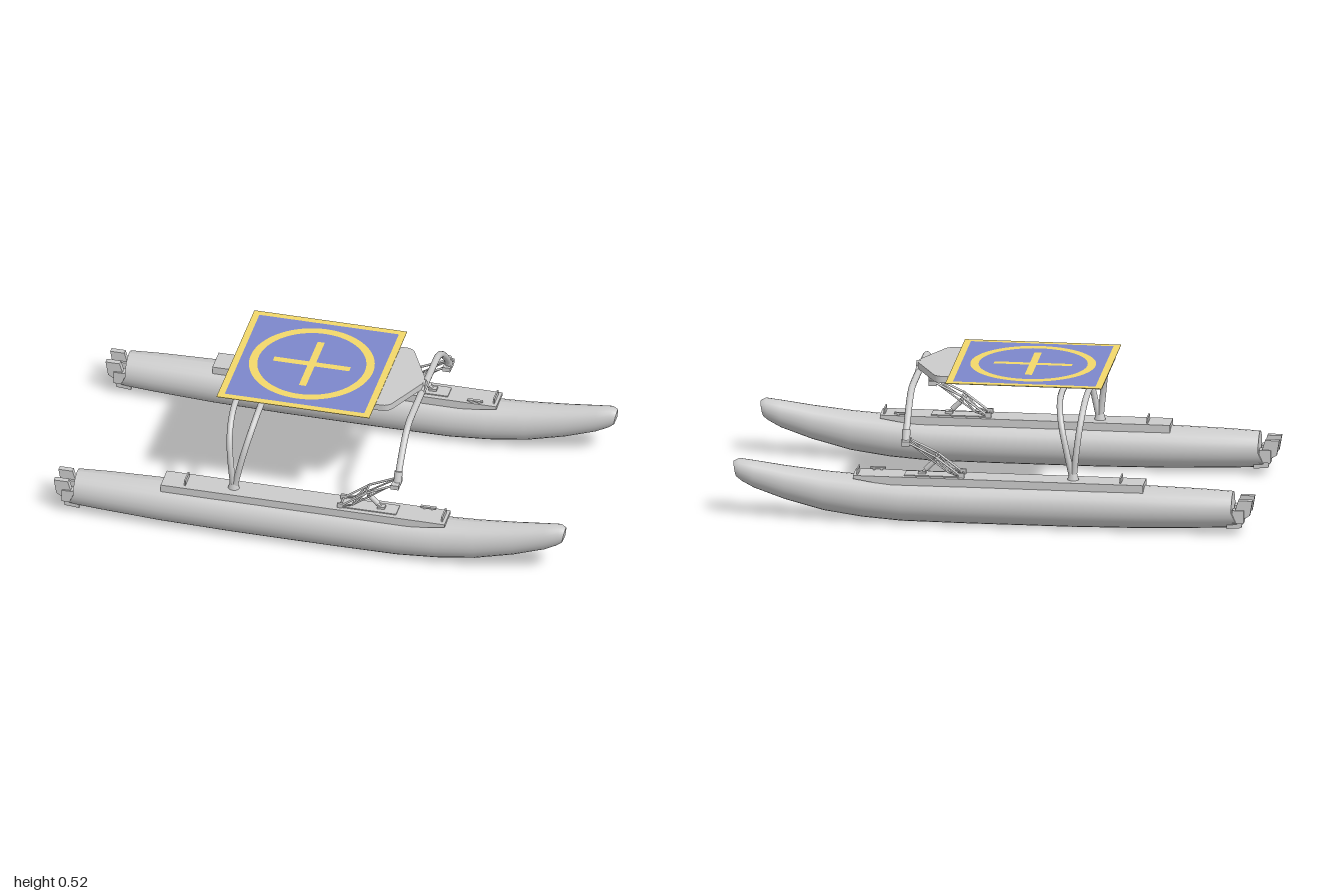
import * as THREE from 'three';

const grey = new THREE.MeshStandardMaterial({ color: 0xcccccc, side: THREE.DoubleSide });
const blue = new THREE.MeshStandardMaterial({ color: 0x7c87cb });
const yellow = new THREE.MeshStandardMaterial({ color: 0xf2d86a });
const teal = new THREE.MeshStandardMaterial({ color: 0x9fc4c4 });
const V = (x, y, z) => new THREE.Vector3(x, y, z);

function add(parent, name, geo, mat = grey, x = 0, y = 0, z = 0) {
  const m = new THREE.Mesh(geo, mat);
  m.name = name;
  m.position.set(x, y, z);
  parent.add(m);
  return m;
}
const box = (p, name, w, h, d, x, y, z, mat) => add(p, name, new THREE.BoxGeometry(w, h, d), mat, x, y, z);

// Straight round bar between two points
function rod(p, name, a, b, r, sides = 8) {
  const dir = b.clone().sub(a);
  const m = add(p, name, new THREE.CylinderGeometry(r, r, dir.length(), sides));
  m.position.copy(a).add(b).multiplyScalar(0.5);
  m.quaternion.setFromUnitVectors(V(0, 1, 0), dir.normalize());
  return m;
}
function tube(p, name, pts, r) {
  const curve = new THREE.CatmullRomCurve3(pts, false, 'centripetal');
  return add(p, name, new THREE.TubeGeometry(curve, 64, r, 12));
}
// Plate with an x-y outline, centred on z
function sidePlate(p, name, pts, depth, z) {
  const shape = new THREE.Shape(pts.map(q => new THREE.Vector2(...q)));
  const g = new THREE.ExtrudeGeometry(shape, { depth, bevelEnabled: false });
  return add(p, name, g.translate(0, 0, -depth / 2), grey, 0, 0, z);
}

// Hull lofted through elliptical stations: x, bottom, top, half width
function hullGeometry() {
  const stations = [
    [-0.92, 0.022, 0.16, 0.066], [-0.8, 0.015, 0.165, 0.076], [-0.58, 0.006, 0.17, 0.084],
    [-0.3, 0.001, 0.171, 0.086], [0.1, 0, 0.171, 0.086], [0.35, 0.001, 0.171, 0.083],
    [0.5, 0.011, 0.174, 0.077], [0.65, 0.031, 0.184, 0.068], [0.8, 0.069, 0.2, 0.056],
    [0.92, 0.11, 0.216, 0.044], [0.975, 0.135, 0.223, 0.037], [0.995, 0.15, 0.212, 0.026]];
  const n = 24, pos = [], idx = [];
  const ring = ([x, b, t, w], i) => {
    for (let k = 0; k <= n; k++) {
      const a = k / n * Math.PI * 2, c = Math.cos(a);
      // stern leans aft toward the keel, bow leans aft toward the keel
      const lean = i === 0 ? Math.min(0, c) * 0.03 : i >= 10 ? c * 0.006 - 0.002 : 0;
      pos.push(x + lean, (b + t) / 2 + c * (t - b) / 2, Math.sin(a) * w);
    }
  };
  stations.forEach(ring);
  for (let i = 0; i < stations.length - 1; i++) for (let k = 0; k < n; k++) {
    const a = i * (n + 1) + k, b = a + n + 1;
    idx.push(a, a + 1, b, b, a + 1, b + 1);
  }
  // separate cap rings keep the end edges sharp
  for (const i of [0, stations.length - 1]) {
    const start = pos.length / 3;
    ring(stations[i], i);
    const [x, b, t] = stations[i];
    pos.push(i ? x + 0.003 : x, (b + t) / 2, 0);
    const mid = start + n + 1;
    for (let k = 0; k < n; k++) idx.push(mid, ...(i ? [start + k, start + k + 1] : [start + k + 1, start + k]));
  }
  const g = new THREE.BufferGeometry();
  g.setAttribute('position', new THREE.Float32BufferAttribute(pos, 3));
  g.setIndex(idx);
  g.computeVertexNormals();
  return g;
}

function buildSide(s) {
  const g = new THREE.Group(), zc = s * 0.41;
  g.name = s > 0 ? 'nearHullAssembly' : 'farHullAssembly';
  add(g, 'hull', hullGeometry(), grey, 0, 0, zc);

  // Raised deck
  sidePlate(g, 'deck', [[-0.58, 0.155], [0.36, 0.15], [0.46, 0.16], [0.535, 0.172], [0.535, 0.185], [-0.58, 0.185]], 0.1, zc);
  sidePlate(g, 'deckTray', [[0.115, 0.184], [0.34, 0.184], [0.34, 0.189], [0.115, 0.189]], 0.062, zc);
  // Deck fittings
  box(g, 'rearCleat', 0.006, 0.022, 0.065, -0.49, 0.195, zc);
  box(g, 'cleatBar', 0.06, 0.006, 0.012, 0.45, 0.193, s * 0.37);
  for (const x of [0.435, 0.465]) box(g, 'cleatPost', 0.008, 0.01, 0.008, x, 0.187, s * 0.37);
  box(g, 'frontCleat', 0.006, 0.022, 0.065, 0.52, 0.194, zc);

  // Twin drive pods at the stern
  for (const o of [-0.037, 0.037]) {
    sidePlate(g, 'drivePod', [[-0.9, 0.088], [-0.93, 0.088], [-0.945, 0.138], [-1, 0.138], [-0.99, 0.08],
      [-0.965, 0.065], [-0.957, 0.03], [-0.9, 0.025]], 0.022, zc + o);
    box(g, 'podHousing', 0.045, 0.05, 0.038, -0.945, 0.075, zc + o * 0.95);
  }

  // Suspension wishbone: two rails, cross bars and diagonals
  const foot = V(0.12, 0.19, 0), elbow = V(0.22, 0.265, 0), head = V(0.325, 0.315, 0);
  const at = (v, o) => V(v.x, v.y, zc + o);
  for (const o of [-0.03, 0.03]) {
    rod(g, 'wishboneRail', at(foot, o), at(elbow, o), 0.0045);
    rod(g, 'wishboneRail', at(elbow, o), at(head, o * 0.9), 0.0045);
    rod(g, 'wishboneBrace', at(V(0.17, 0.205, 0), o), at(head, o * 0.6), 0.0035);
    rod(g, 'wishboneBrace', at(foot, o), at(V(0.17, 0.205, 0), o), 0.0035);
    rod(g, 'wishboneDiagonal', at(V(0.17, 0.205, 0), o), at(elbow, o), 0.0035);
    box(g, 'pivotBracket', 0.022, 0.022, 0.01, 0.12, 0.193, zc + o);
  }
  for (const v of [foot, elbow, V(0.17, 0.205, 0)]) rod(g, 'wishboneCrossBar', at(v, -0.03), at(v, 0.03), 0.004);
  // Spring strut
  rod(g, 'springRod', at(V(0.275, 0.192, 0), 0), at(V(0.205, 0.262, 0), 0), 0.005);
  rod(g, 'springBody', at(V(0.262, 0.205, 0), 0), at(V(0.225, 0.242, 0), 0), 0.01, 12);
  box(g, 'springMount', 0.03, 0.014, 0.024, 0.275, 0.191, zc);
  // Knuckle joining wishbone and arch
  box(g, 'wishboneHead', 0.03, 0.018, 0.068, 0.335, 0.312, zc);
  rod(g, 'knuckle', V(0.338, 0.31, zc), V(0.338, 0.355, s * 0.392), 0.016, 12);

  // Foot of the rear arches
  const base = add(g, 'rearArchFoot', new THREE.CylinderGeometry(0.013, 0.02, 0.03, 16), grey, -0.305, 0.193, zc);
  base.scale.x = 1.2;
  return g;
}

function archPath(half) {
  return [...half, ...half.slice().reverse().map(v => V(v.x, v.y, -v.z))];
}

function buildDeckTop() {
  const g = new THREE.Group();
  g.name = 'landingPlatform';
  const flat = (name, shape, y, mat) => {
    const m = add(g, name, new THREE.ShapeGeometry(shape, 48), mat, -0.1, y, 0);
    m.rotation.x = -Math.PI / 2;
    return m;
  };
  const rect = (w, h) => new THREE.Shape([[-w, -h], [w, -h], [w, h], [-w, h]].map(q => new THREE.Vector2(...q)));

  // Thin sheet with painted markings
  box(g, 'sheet', 0.6, 0.002, 0.6, -0.1, 0.516, 0, yellow);
  box(g, 'sheetUnderside', 0.598, 0.001, 0.598, -0.1, 0.5147, 0, teal);
  flat('blueField', rect(0.274, 0.274), 0.5176, blue);
  const circle = new THREE.Shape().absarc(0, 0, 0.24, 0, Math.PI * 2);
  circle.holes.push(new THREE.Path().absarc(0, 0, 0.208, 0, Math.PI * 2, true));
  flat('circleMark', circle, 0.5182, yellow);
  const a = 0.15, b = 0.014;
  const cross = [[a, -b], [a, b], [b, b], [b, a], [-b, a], [-b, b], [-a, b], [-a, -b], [-b, -b], [-b, -a], [b, -a], [b, -b]];
  flat('crossMark', new THREE.Shape(cross.map(q => new THREE.Vector2(...q))), 0.5182, yellow);

  // Body under the sheet, tapering to the front pivot
  const plan = new THREE.Shape();
  plan.moveTo(-0.39, -0.2).lineTo(0.22, -0.2).quadraticCurveTo(0.25, -0.2, 0.262, -0.175);
  plan.lineTo(0.34, -0.02).lineTo(0.34, 0.02).lineTo(0.262, 0.175);
  plan.quadraticCurveTo(0.25, 0.2, 0.22, 0.2).lineTo(-0.39, 0.2);
  const body = new THREE.ExtrudeGeometry(plan, { depth: 0.026, bevelEnabled: false });
  add(g, 'platformBody', body.rotateX(-Math.PI / 2), grey, 0, 0.488, 0);

  // Front pivot lug
  const lug = new THREE.Shape();
  lug.moveTo(-0.034, 0.485).lineTo(0.034, 0.485).lineTo(0.016, 0.5).absarc(0, 0.5, 0.016, 0, Math.PI);
  const lugGeo = new THREE.ExtrudeGeometry(lug, { depth: 0.014, bevelEnabled: false });
  add(g, 'pivotLug', lugGeo.rotateY(Math.PI / 2), grey, 0.334, 0, 0);
  return g;
}

export function createModel() {
  const model = new THREE.Group();
  model.name = 'catamaran';
  for (const s of [1, -1]) model.add(buildSide(s));
  model.add(buildDeckTop());

  // Front arch
  tube(model, 'frontArch', archPath([V(0.338, 0.335, 0.4), V(0.338, 0.375, 0.365), V(0.338, 0.42, 0.318),
    V(0.338, 0.455, 0.27), V(0.338, 0.472, 0.225), V(0.338, 0.475, 0.18)]), 0.013);

  // Rear arches, spreading from a shared foot on each hull
  for (const top of [-0.337, -0.238]) {
    const x = t => -0.305 + (top + 0.305) * t;
    tube(model, 'rearArch', archPath([V(x(0.05), 0.19, 0.41), V(x(0.4), 0.3, 0.408), V(x(0.65), 0.37, 0.392),
      V(x(0.85), 0.425, 0.355), V(x(0.97), 0.462, 0.295), V(top, 0.475, 0.22), V(top, 0.475, 0.15)]), 0.012);
  }
  return model;
}
